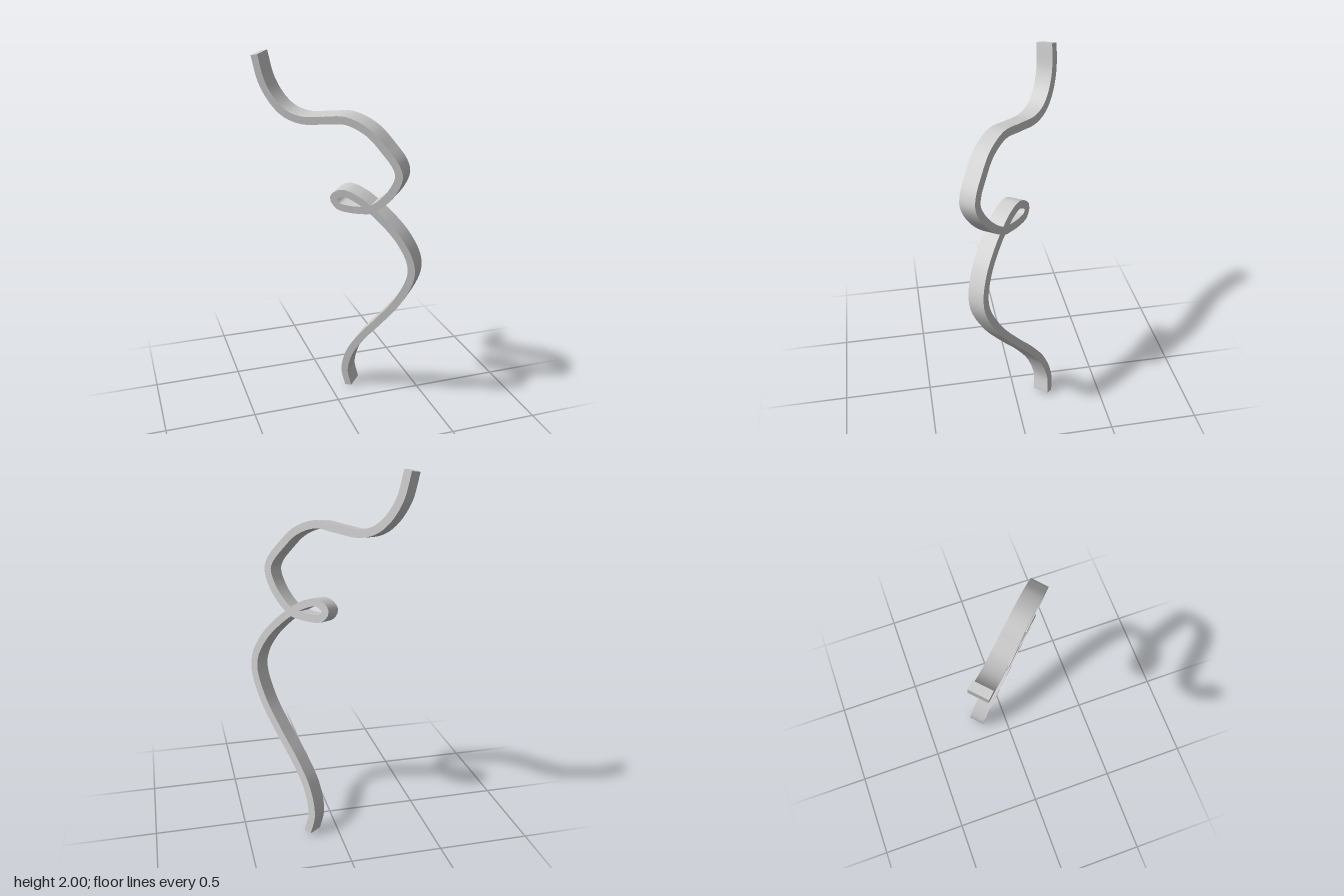
import * as THREE from 'three';

const WIDTH = 0.097, THICK = 0.042, STEPS = 260;

// Centre line of the ribbon in its own plane: [across, height]
const PATH = [
  [-0.02, 0.012], [-0.037, 0.12], [0.005, 0.26], [0.098, 0.4], [0.215, 0.54], [0.335, 0.7],
  [0.408, 0.86], [0.405, 0.95], [0.35, 1.06], [0.27, 1.15], [0.19, 1.217], [0.11, 1.268],
  [0.03, 1.288], [-0.024, 1.252], [0.0, 1.212], [0.06, 1.202], [0.125, 1.205], [0.19, 1.217],
  [0.3, 1.31], [0.358, 1.42], [0.345, 1.475], [0.288, 1.55], [0.2, 1.638], [0.08, 1.687],
  [-0.05, 1.677], [-0.18, 1.667], [-0.27, 1.692], [-0.337, 1.75], [-0.393, 1.85], [-0.42, 1.988],
];

// The plane runs diagonally across x and z and leans slightly
const LEAN = 0.147;
const across = new THREE.Vector3(1, 0, 1).normalize();
const side = new THREE.Vector3(1, 0, -1).normalize();
const normal = side.clone().addScaledVector(new THREE.Vector3(0, 1, 0), LEAN).normalize();
const toSpace = ([u, y]) => new THREE.Vector3(0, y, 0)
  .addScaledVector(across, u).addScaledVector(side, 0.222 - LEAN * y);

// Rectangular section swept along the curve, one smooth strip per side
function ribbonGeometry(curve) {
  const positions = [], index = [];
  const sections = [];
  for (let i = 0; i <= STEPS; i++) {
    const p = curve.getPointAt(i / STEPS);
    const out = new THREE.Vector3().crossVectors(curve.getTangentAt(i / STEPS), normal).normalize();
    sections.push([[1, 1], [-1, 1], [-1, -1], [1, -1]].map(([a, b]) => p.clone()
      .addScaledVector(out, a * THICK / 2).addScaledVector(normal, b * WIDTH / 2)));
  }
  const add = (v) => positions.push(v.x, v.y, v.z) / 3 - 1;
  for (let k = 0; k < 4; k++) {
    const next = (k + 1) % 4;
    sections.forEach((s, i) => {
      const a = add(s[k]), b = add(s[next]);
      if (i > 0) index.push(a - 2, b - 2, b, a - 2, b, a);
    });
  }
  // End caps
  const [s0, s1, s2, s3] = sections[0].map(add);
  index.push(s0, s2, s1, s0, s3, s2);
  const [e0, e1, e2, e3] = sections[STEPS].map(add);
  index.push(e0, e1, e2, e0, e2, e3);

  const geometry = new THREE.BufferGeometry();
  geometry.setAttribute('position', new THREE.Float32BufferAttribute(positions, 3));
  geometry.setIndex(index);
  geometry.computeVertexNormals();
  return geometry;
}

export function createModel() {
  const group = new THREE.Group();
  group.name = 'loopedRibbon';
  const curve = new THREE.CatmullRomCurve3(PATH.map(toSpace), false, 'centripetal');
  curve.arcLengthDivisions = 1000;
  const material = new THREE.MeshStandardMaterial({ color: 0xcccccc, side: THREE.DoubleSide });
  const ribbon = new THREE.Mesh(ribbonGeometry(curve), material);
  ribbon.name = 'ribbon';
  group.add(ribbon);
  return group;
}
